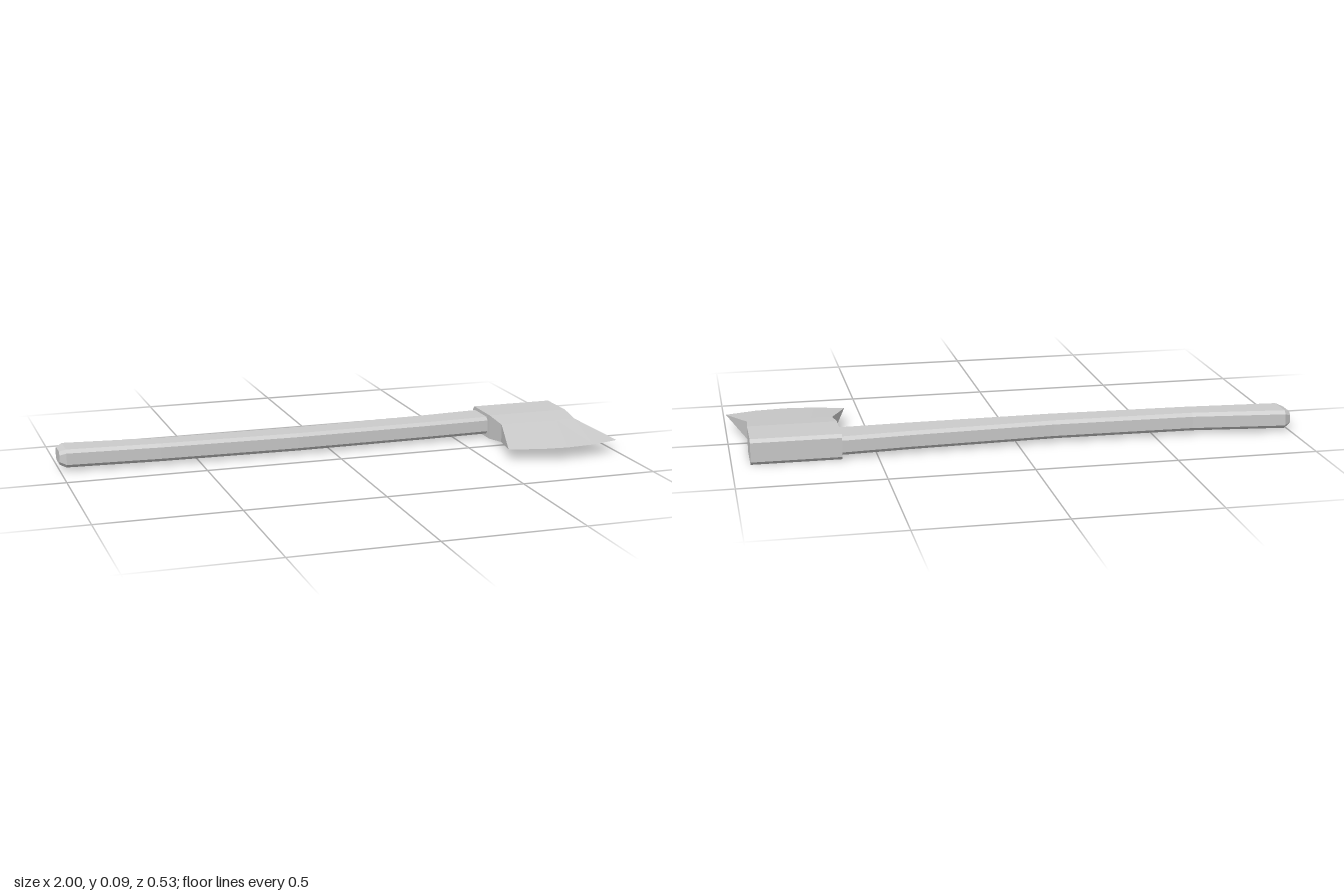
import * as THREE from 'three';

const MID_Y = 0.046;

// Skin a row of equal-length rings (counter-clockwise about the travel axis) and cap both ends.
function loft(rings, name) {
  const n = rings[0].length;
  const positions = rings.flat(2);
  const index = [];
  for (let i = 0; i < rings.length - 1; i++) {
    for (let j = 0; j < n; j++) {
      const k = (j + 1) % n;
      const a = i * n + j, b = i * n + k, c = b + n, d = a + n;
      index.push(a, b, c, a, c, d);
    }
  }
  const last = (rings.length - 1) * n;
  for (let j = 1; j < n - 1; j++) {
    index.push(0, j + 1, j, last, last + j, last + j + 1);
  }
  const indexed = new THREE.BufferGeometry();
  indexed.setAttribute('position', new THREE.Float32BufferAttribute(positions, 3));
  indexed.setIndex(index);
  const geometry = indexed.toNonIndexed();
  geometry.computeVertexNormals();
  const material = new THREE.MeshStandardMaterial({ color: 0xcccccc, flatShading: true });
  const mesh = new THREE.Mesh(geometry, material);
  mesh.name = name;
  return mesh;
}

// Curved handle: chamfered rectangular sections along x.
function createHandle() {
  // x, back z, front z, half height
  const stations = [
    [-1.0, -0.243, -0.151, 0.024],
    [-0.977, -0.257, -0.137, 0.033],
    [-0.64, -0.22, -0.116, 0.033],
    [-0.13, -0.214, -0.104, 0.033],
    [0.38, -0.238, -0.112, 0.033],
    [0.64, -0.257, -0.121, 0.033],
    [0.9, -0.255, -0.121, 0.033],
  ];
  const c = 0.012;
  const rings = stations.map(([x, back, front, h]) => [
    [h, back + c], [h, front - c], [h - c, front], [c - h, front],
    [-h, front - c], [-h, back + c], [c - h, back], [h - c, back],
  ].map(([y, z]) => [x, MID_Y + y, z]));
  return loft(rings, 'handle');
}

// Wedge head: sections along z, flaring into a bowed cutting edge.
function createHead() {
  // z at the sides, half width, half height, forward bow in the middle
  const stations = [
    [-0.265, 0.156, 0.034, 0],
    [-0.254, 0.156, 0.0455, 0],
    [-0.1, 0.156, 0.0455, 0],
    [0.0, 0.15, 0.0335, 0],
    [0.22, 0.216, 0, 0.042],
  ];
  const columns = [-1, -0.5, 0, 0.5, 1];
  const rings = stations.map(([z, w, h, bow]) => {
    const row = (side) => columns.map((u) => [
      0.78 + u * w, MID_Y + side * h, z + bow * (1 - u * u),
    ]);
    return [...row(-1), ...row(1).reverse()];
  });
  return loft(rings, 'axeHead');
}

export function createModel() {
  const axe = new THREE.Group();
  axe.name = 'axe';
  axe.add(createHandle(), createHead());
  return axe;
}
